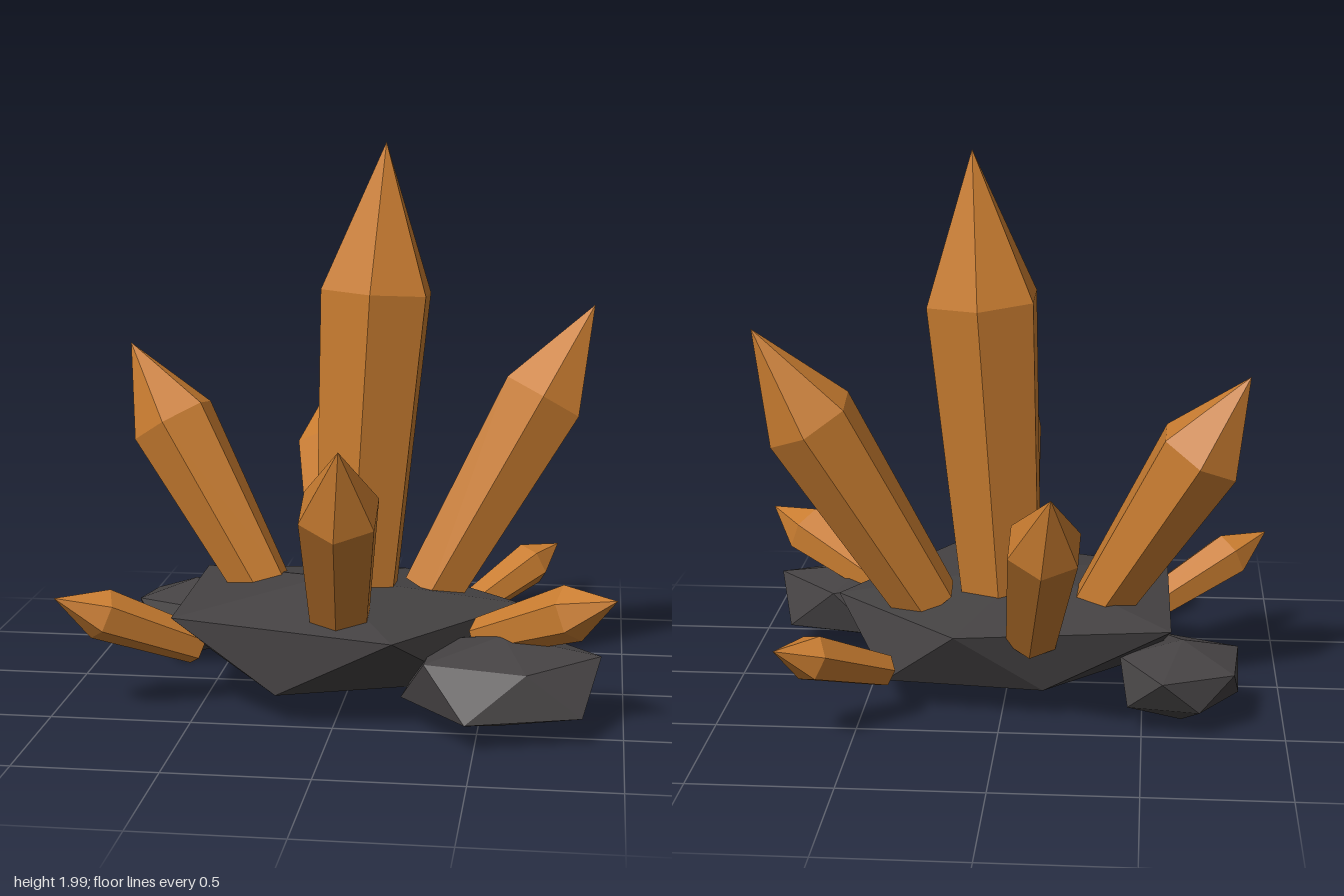
import * as THREE from 'three';
import { ConvexGeometry } from 'three/addons/geometries/ConvexGeometry.js';

const V = (p) => new THREE.Vector3(...p);

// Six-sided shard that widens to a shoulder, then narrows to a point on the same axis
function crystal(name, base, tip, baseRadius, shoulderRadius, material) {
  const axis = V(tip).sub(V(base));
  const length = axis.length();
  const profile = [
    [0, 0], [baseRadius, 0], [shoulderRadius, length * 0.68], [0, length],
  ].map(([r, y]) => new THREE.Vector2(r, y));
  const geometry = new THREE.LatheGeometry(profile, 6).toNonIndexed();
  geometry.computeVertexNormals(); // faceted
  const mesh = new THREE.Mesh(geometry, material);
  mesh.name = name;
  mesh.position.set(...base);
  mesh.quaternion.setFromUnitVectors(new THREE.Vector3(0, 1, 0), axis.normalize());
  return mesh;
}

// Faceted stone: top and bottom points with two offset rings of five between them
function rock(name, points, material) {
  const mesh = new THREE.Mesh(new ConvexGeometry(points.map(V)), material);
  mesh.name = name;
  return mesh;
}

export function createModel() {
  const group = new THREE.Group();
  group.name = 'crystalCluster';
  const amber = new THREE.MeshStandardMaterial({ color: 0xc87c30 });
  amber.name = 'amber';
  const stone = new THREE.MeshStandardMaterial({ color: 0x454243 });
  stone.name = 'darkStone';

  // Stones: top, bottom, upper ring, lower ring
  const rocks = {
    mainRock: [
      [-0.08, 0.44, 0.08], [0, 0.01, 0],
      [0.63, 0.34, 0], [0.22, 0.36, 0.64], [-0.59, 0.35, 0.38], [-0.6, 0.35, -0.37], [0.16, 0.34, -0.46],
      [0.45, 0.13, 0.3], [-0.2, 0.12, 0.5], [-0.52, 0.12, 0], [-0.15, 0.12, -0.37], [0.42, 0.12, -0.31],
    ],
    frontRightRock: [
      [0.58, 0.33, 0.38], [0.57, 0.02, 0.43],
      [0.92, 0.28, 0.42], [0.67, 0.26, 0.61], [0.32, 0.27, 0.56], [0.34, 0.28, 0.28], [0.68, 0.28, 0.16],
      [0.86, 0.11, 0.59], [0.47, 0.11, 0.71], [0.23, 0.11, 0.43], [0.52, 0.12, 0.16], [0.86, 0.12, 0.24],
    ],
    backLeftRock: [
      [-0.64, 0.31, -0.33], [-0.64, 0.01, -0.33],
      [-0.57, 0.23, -0.57], [-0.42, 0.23, -0.3], [-0.57, 0.25, -0.1], [-0.84, 0.25, -0.22], [-0.82, 0.23, -0.46],
      [-0.45, 0.11, -0.48], [-0.45, 0.11, -0.18], [-0.72, 0.11, -0.12], [-0.84, 0.12, -0.33], [-0.7, 0.11, -0.52],
    ],
  };
  for (const [name, points] of Object.entries(rocks)) group.add(rock(name, points, stone));

  // Crystals: base, tip, base radius, shoulder radius
  const crystals = {
    centreCrystal: [[0.02, 0.34, -0.01], [0.12, 2, -0.08], 0.16, 0.217],
    tallRightCrystal: [[0.29, 0.35, -0.1], [0.87, 1.4, -0.31], 0.122, 0.172],
    tallLeftCrystal: [[-0.34, 0.35, -0.09], [-0.86, 1.24, -0.23], 0.11, 0.165],
    frontCrystal: [[0.01, 0.34, 0.36], [0.07, 1.06, 0.87], 0.11, 0.145],
    backCrystal: [[-0.11, 0.33, -0.37], [-0.2, 0.97, -0.88], 0.1, 0.135],
    smallFrontRightCrystal: [[0.5, 0.29, 0.27], [0.97, 0.51, 0.54], 0.07, 0.1],
    smallFrontLeftCrystal: [[-0.52, 0.22, 0.27], [-0.97, 0.45, 0.53], 0.067, 0.092],
    smallBackRightCrystal: [[0.41, 0.2, -0.42], [0.74, 0.385, -0.75], 0.06, 0.085],
  };
  for (const [name, spec] of Object.entries(crystals)) group.add(crystal(name, ...spec, amber));

  return group;
}
